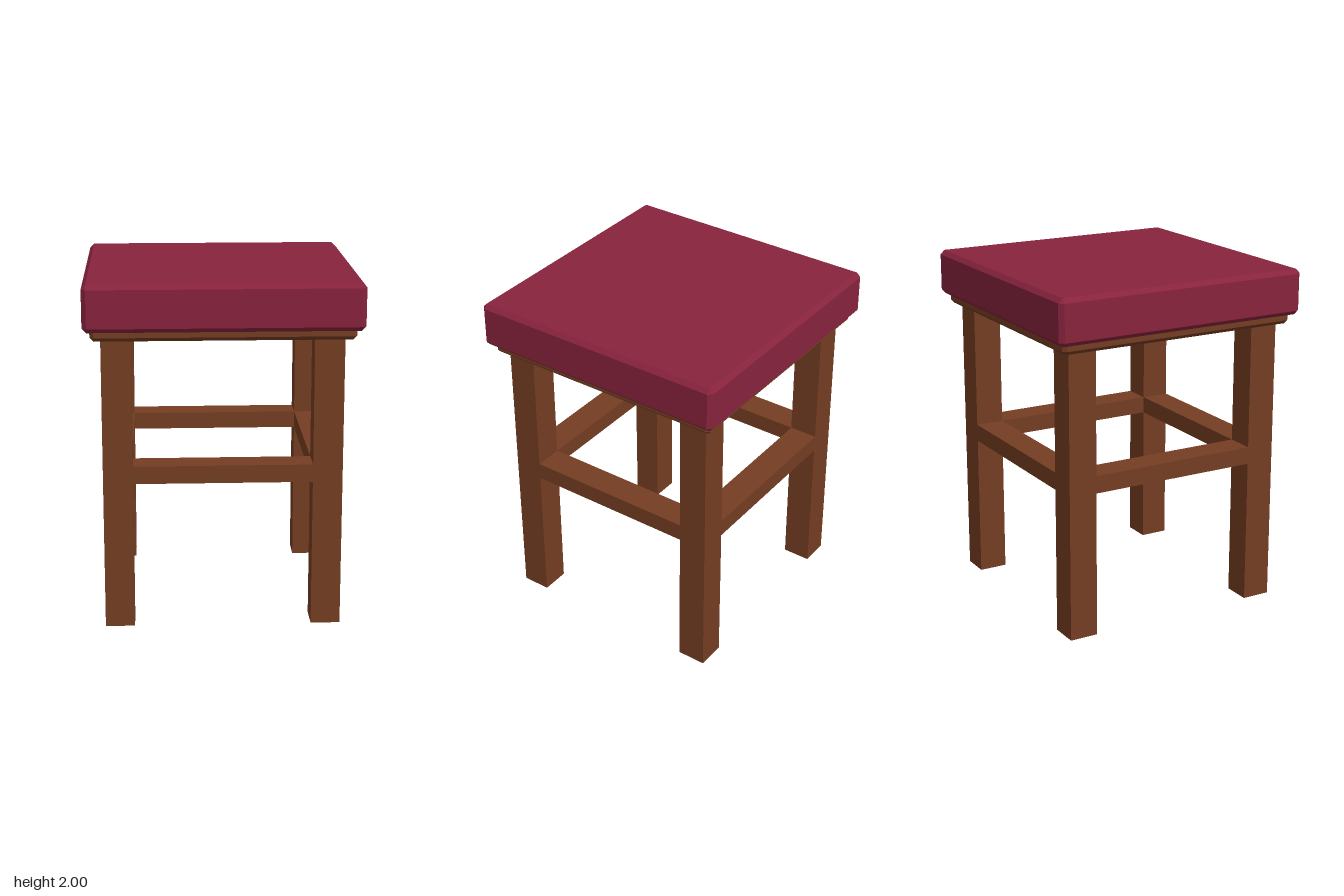
import * as THREE from 'three';
import { ConvexGeometry } from 'three/addons/geometries/ConvexGeometry.js';

// Box with every edge cut by a flat chamfer
function chamferedBox(w, h, d, c) {
  const half = [w / 2, h / 2, d / 2];
  const points = [];
  for (const sx of [-1, 1]) for (const sy of [-1, 1]) for (const sz of [-1, 1]) {
    for (let axis = 0; axis < 3; axis++) {
      const [x, y, z] = half.map((v, i) => (i === axis ? v : v - c));
      points.push(new THREE.Vector3(sx * x, sy * y, sz * z));
    }
  }
  return new ConvexGeometry(points);
}

export function createModel() {
  const wood = new THREE.MeshStandardMaterial({ color: 0x753d22 });
  wood.name = 'brown wood';
  const fabric = new THREE.MeshStandardMaterial({ color: 0x88233d });
  fabric.name = 'burgundy fabric';

  const stool = new THREE.Group();
  stool.name = 'stool';
  const add = (name, geometry, material, x, y, z) => {
    const mesh = new THREE.Mesh(geometry, material);
    mesh.name = name;
    mesh.position.set(x, y, z);
    stool.add(mesh);
  };

  // Padded seat over a slightly smaller board
  add('cushion', chamferedBox(1.55, 0.264, 1.55, 0.025), fabric, 0, 1.868, 0);
  add('seatBoard', chamferedBox(1.466, 0.1, 1.466, 0.022), wood, -0.002, 1.73, -0.002);

  // Four square legs
  const legWidth = 0.168, low = -0.594, high = 0.588;
  const legGeometry = new THREE.BoxGeometry(legWidth, 1.69, legWidth);
  for (const [sideName, x] of [['Left', high], ['Right', low]]) {
    for (const [endName, z] of [['front', high], ['back', low]]) {
      add(`${endName}${sideName}Leg`, legGeometry, wood, x, 0.845, z);
    }
  }

  // Stretchers between the legs, flush with their faces
  const span = high - low - legWidth, middle = (high + low) / 2;
  const crossBar = new THREE.BoxGeometry(span, 0.102, legWidth);
  const sideBar = new THREE.BoxGeometry(legWidth, 0.102, span);
  add('frontStretcher', crossBar, wood, middle, 0.904, high);
  add('backStretcher', crossBar, wood, middle, 0.904, low);
  add('leftStretcher', sideBar, wood, high, 0.904, middle);
  add('rightStretcher', sideBar, wood, low, 0.904, middle);

  return stool;
}
